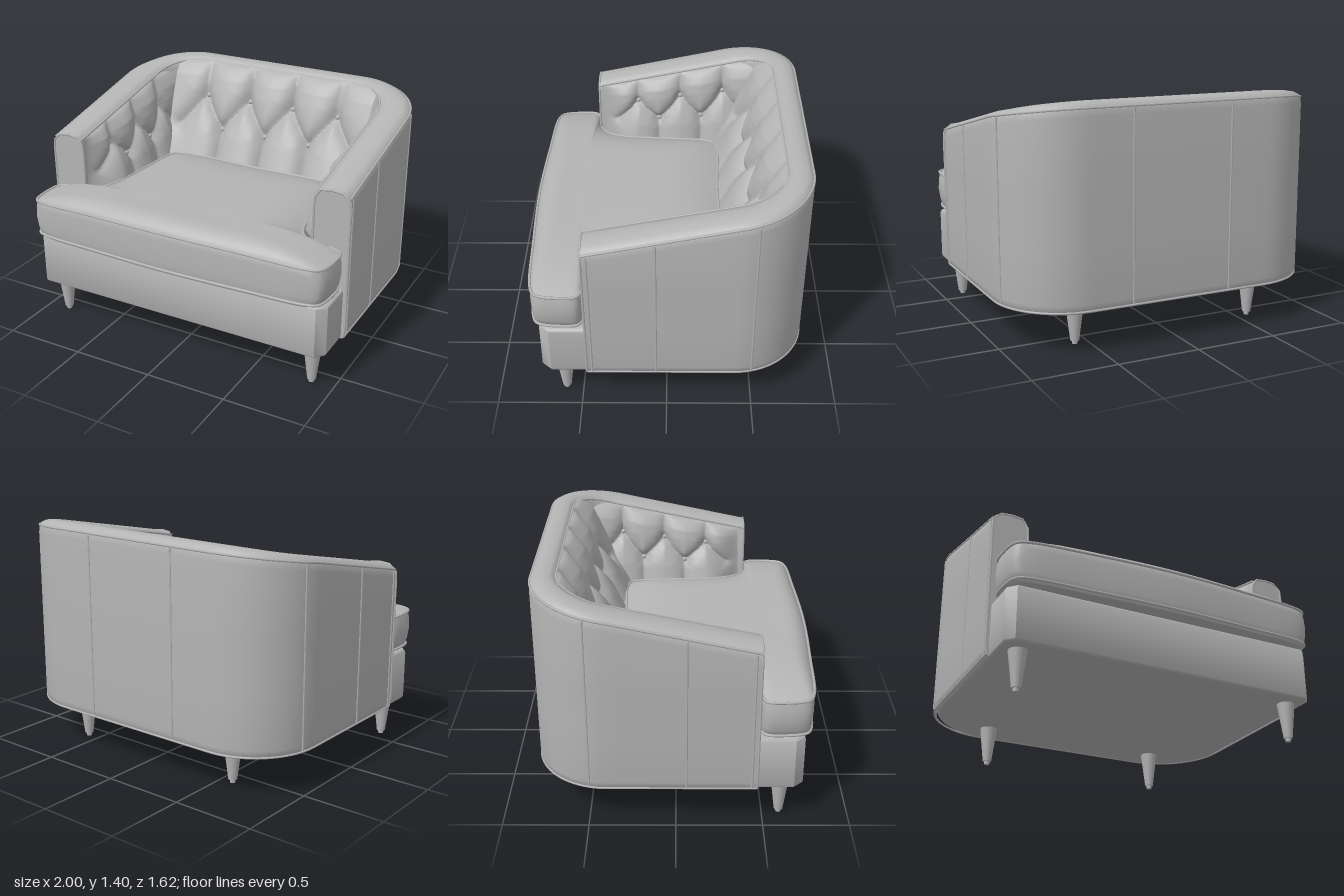
import * as THREE from 'three';
import { toCreasedNormals } from 'three/addons/utils/BufferGeometryUtils.js';

const { lerp, smoothstep } = THREE.MathUtils;
const V = (x, y, z) => new THREE.Vector3(x, y, z);
const upholstery = new THREE.MeshStandardMaterial({ color: 0xb4b4b4 });
upholstery.name = 'grey upholstery';

// Indexed surface from fn(i, j); the front faces along di x dj
function grid(nu, nv, fn, crease = 0.9) {
  const pos = [], idx = [];
  for (let j = 0; j <= nv; j++) for (let i = 0; i <= nu; i++) pos.push(...fn(i, j).toArray());
  for (let j = 0; j < nv; j++) for (let i = 0; i < nu; i++) {
    const a = j * (nu + 1) + i, b = a + 1, c = a + nu + 1, d = c + 1;
    idx.push(a, b, c, b, d, c);
  }
  const g = new THREE.BufferGeometry();
  g.setAttribute('position', new THREE.Float32BufferAttribute(pos, 3));
  g.setIndex(idx);
  return toCreasedNormals(g, crease);
}

// U-shaped plan line from the left arm front, round the back, to the right arm front
function rail(x, zBack, r) {
  const half = [];
  for (let i = 0; i < 10; i++) half.push([x, lerp(0.46, zBack + r, i / 10)]);
  for (let i = 0; i < 14; i++) {
    const a = (i / 14) * Math.PI / 2;
    half.push([x - r + r * Math.cos(a), zBack + r - r * Math.sin(a)]);
  }
  for (let i = 0; i < 8; i++) half.push([(x - r) * (1 - i / 8), zBack]);
  return [...half, [0, zBack], ...half.map(([px, pz]) => [-px, pz]).reverse()];
}
const outer = rail(0.99, -0.81, 0.42), inner = rail(0.78, -0.66, 0.24);
const rimY = z => 1.14 + 0.21 * (0.46 - z);

// Point of the wall: i along the rail, f from outside (0) to inside (1)
function wallPoint(i, f, y, fromRim) {
  const [ox, oz] = outer[i], [ix, iz] = inner[i];
  return V(lerp(ox, ix, f), fromRim ? rimY((oz + iz) / 2) + y : y, lerp(oz, iz, f));
}
const section = [[0.1, 0.238], [0.03, 0.25], [0, 0.29], [0, 0.6], [0, 0.9], [0, -0.07, 1], [0.02, -0.035, 1],
  [0.08, -0.012, 1], [0.25, 0.003, 1], [0.5, 0.008, 1], [0.75, 0.004, 1], [0.93, -0.008, 1], [1, -0.04, 1], [1, 0.5]];

// Distance from a point to a segment
function segDist(a, q, [x1, y1, x2, y2]) {
  const dx = x2 - x1, dy = y2 - y1;
  const t = Math.min(1, Math.max(0, ((a - x1) * dx + (q - y1) * dy) / (dx * dx + dy * dy)));
  return Math.hypot(a - x1 - t * dx, q - y1 - t * dy);
}

// Diamond tufting: upper buttons pleat to the top, lower ones to the seat
function tufting(upper, lower, bulge) {
  const hi = 0.39, lo = 0.2, creases = [], step = upper[1] - upper[0];
  const buttons = [...upper.map(a => [a, hi]), ...lower.map(a => [a, lo])];
  upper.forEach(a => {
    creases.push([a, hi, a, 0.6]);
    lower.filter(b => Math.abs(a - b) < step * 0.8).forEach(b => creases.push([a, hi, b, lo]));
  });
  lower.forEach(b => creases.push([b, lo, b, 0]));
  const n = upper.length - 1;
  creases.push([upper[0], hi, upper[0] - step / 2, lo], [upper[n], hi, upper[n] + step / 2, lo]);
  const height = (a, q) => {
    const d = Math.min(...creases.map(c => segDist(a, q, c)));
    const r = Math.min(...buttons.map(b => Math.hypot(a - b[0], q - b[1])));
    const edge = Math.sqrt(Math.min(1, Math.max(0, (0.6 - q) / 0.1)));
    return bulge * edge * (1 - Math.exp(-d / 0.05)) - 0.025 * Math.exp(-r * r / 0.002);
  };
  return { buttons, height };
}

export function createModel() {
  const model = new THREE.Group();
  model.name = 'tubArmchair';
  const add = (name, geo) => {
    const m = new THREE.Mesh(geo, upholstery);
    m.name = name;
    model.add(m);
    return m;
  };
  const piping = (name, pts, r = 0.007, closed = false) => add(name, new THREE.TubeGeometry(
    new THREE.CatmullRomCurve3(pts, closed), Math.max(12, pts.length * 2), r, 6, closed));

  // Wrap-around back and arms
  const n = outer.length - 1;
  add('backAndArmShell', grid(n, section.length - 1, (i, j) => wallPoint(i, ...section[j])));
  const along = (f, y, rim) => outer.map((_, i) => wallPoint(i, f, y, rim));
  piping('outerRimPiping', along(0.03, -0.025, 1));
  piping('innerRimPiping', along(0.97, -0.014, 1));
  piping('bottomPiping', along(0.03, 0.25));

  // Arm front panels with piped edges
  for (const i of [0, n]) {
    const pts = section.map(s => wallPoint(i, ...s));
    add('armFront', new THREE.ShapeGeometry(new THREE.Shape(pts.map(p => new THREE.Vector2(p.x, p.y))))
      .translate(0, 0, 0.46));
    piping('armFrontPiping', pts.slice(1));
  }

  // Upright seams on the outside
  for (const s of [1, -1]) {
    for (const [x, z] of [[0.99, 0.43], [0.99, 0.06], [0.99, -0.49], [0.31, -0.81]]) {
      const px = z === -0.49 ? 0.978 : x, top = rimY(x < 0.5 ? -0.735 : z) - 0.035;
      piping('outsideSeam', [V(s * px, 0.26, z), V(s * px, 0.7, z), V(s * px, top, z)], 0.006);
    }
  }

  // Padded linings: place(a, q, h) puts a tufted point in space
  const lining = (name, a0, a1, tuft, place) => {
    add(name, grid(100, 54, (i, j) => {
      const a = lerp(a0, a1, i / 100), q = 0.6 * j / 54;
      return place(a, q, tuft.height(a, q));
    }, 1.4));
    for (const [a, q] of tuft.buttons) {
      add(name + 'Button', new THREE.SphereGeometry(0.016, 12, 8)).position.copy(place(a, q, tuft.height(a, q) + 0.006));
    }
  };
  lining('backPadding', -0.7, 0.7, tufting([-0.47, -0.155, 0.155, 0.47], [-0.32, 0, 0.32], 0.065),
    (a, q, h) => {
      const v = q / 0.6;
      return V(a * lerp(0.97, 1.02, v), 0.78 + 0.6 * v + h * 0.3, lerp(-0.37, -0.66, v) + h * 0.95);
    });
  const armTuft = tufting([-0.36, -0.08, 0.2], [-0.22, 0.06], 0.06);
  for (const s of [1, -1]) {
    const place = (z, q, h) => {
      const v = q / 0.6, front = smoothstep(z, 0.2, 0.45);
      const x = lerp(lerp(0.68, 0.785, v), 0.785, front) - h * (1 - front * front);
      return V(s * x, lerp(0.78, rimY(z) - 0.025, v), z);
    };
    lining(s > 0 ? 'leftArmPadding' : 'rightArmPadding', s > 0 ? -0.62 : 0.455, s > 0 ? 0.455 : -0.62, armTuft, place);
  }

  // Seat base with rounded back corners
  const plan = new THREE.Shape();
  plan.moveTo(-0.91, -0.7);
  plan.lineTo(0.91, -0.7);
  plan.lineTo(0.945, -0.66);
  plan.lineTo(0.945, 0.4);
  plan.absarc(0.55, 0.36, 0.4, 0.1, Math.PI / 2);
  plan.lineTo(-0.55, 0.76);
  plan.absarc(-0.55, 0.36, 0.4, Math.PI / 2, Math.PI - 0.1);
  plan.lineTo(-0.945, -0.66);
  const base = new THREE.ExtrudeGeometry(plan, {
    depth: 0.28, bevelThickness: 0.025, bevelSize: 0.025, bevelSegments: 4, curveSegments: 16 });
  base.rotateX(-Math.PI / 2).translate(0, 0.26, 0);
  add('seatBase', toCreasedNormals(base, 0.7));

  // T-shaped seat cushion: rings of one outline, crowned on top
  const half = [[0.5, 0.785], [0.9, 0.76], [0.955, 0.73], [0.98, 0.6], [0.97, 0.5], [0.93, 0.475], [0.8, 0.46],
    [0.71, 0.41], [0.66, 0.3], [0.63, 0], [0.605, -0.27], [0.57, -0.32]];
  const knots = [[0, 0.8], ...half, [0, -0.32], ...half.map(([x, z]) => [-x, z]).reverse()];
  const loop = new THREE.CatmullRomCurve3(knots.map(([x, z]) => V(x, 0, z)), true).getPoints(180);
  const edgeLift = p => 0.02 * (1 - p.x * p.x);
  const ring = (p, s, y) => V(p.x * s, y, 0.55 + (p.z - 0.55) * s);
  const rings = [[0, 0.57], [0.95, 0.57], [0.975, 0.585], [0.99, 0.63], [1, 0.7], [0.995, 0.76], [0.985, 0.8]];
  for (let k = 1; k <= 14; k++) {
    const s = 1 - k / 14;
    rings.push([0.985 * s, 0.8 + 0.085 * (1 - s ** 5)]);
  }
  add('seatCushion', grid(180, rings.length - 1, (i, j) => {
    const [s, y] = rings[j];
    return ring(loop[i], s, y + (y > 0.75 ? edgeLift(loop[i]) * Math.min(1, s * s) : 0));
  }, 0.8));
  const open = loop.slice(0, -1);
  piping('cushionTopPiping', open.map(p => ring(p, 0.988, 0.803 + edgeLift(p))), 0.009, true);
  piping('cushionBottomPiping', open.map(p => ring(p, 0.982, 0.59)), 0.009, true);

  // Tapered legs with small feet
  for (const s of [1, -1]) for (const [x, z] of [[0.86, 0.6], [0.58, -0.6]]) {
    add('leg', new THREE.CylinderGeometry(0.055, 0.026, 0.23, 20)).position.set(s * x, 0.135, z);
    add('foot', new THREE.CylinderGeometry(0.018, 0.016, 0.03, 16)).position.set(s * x, 0.015, z);
  }
  return model;
}
